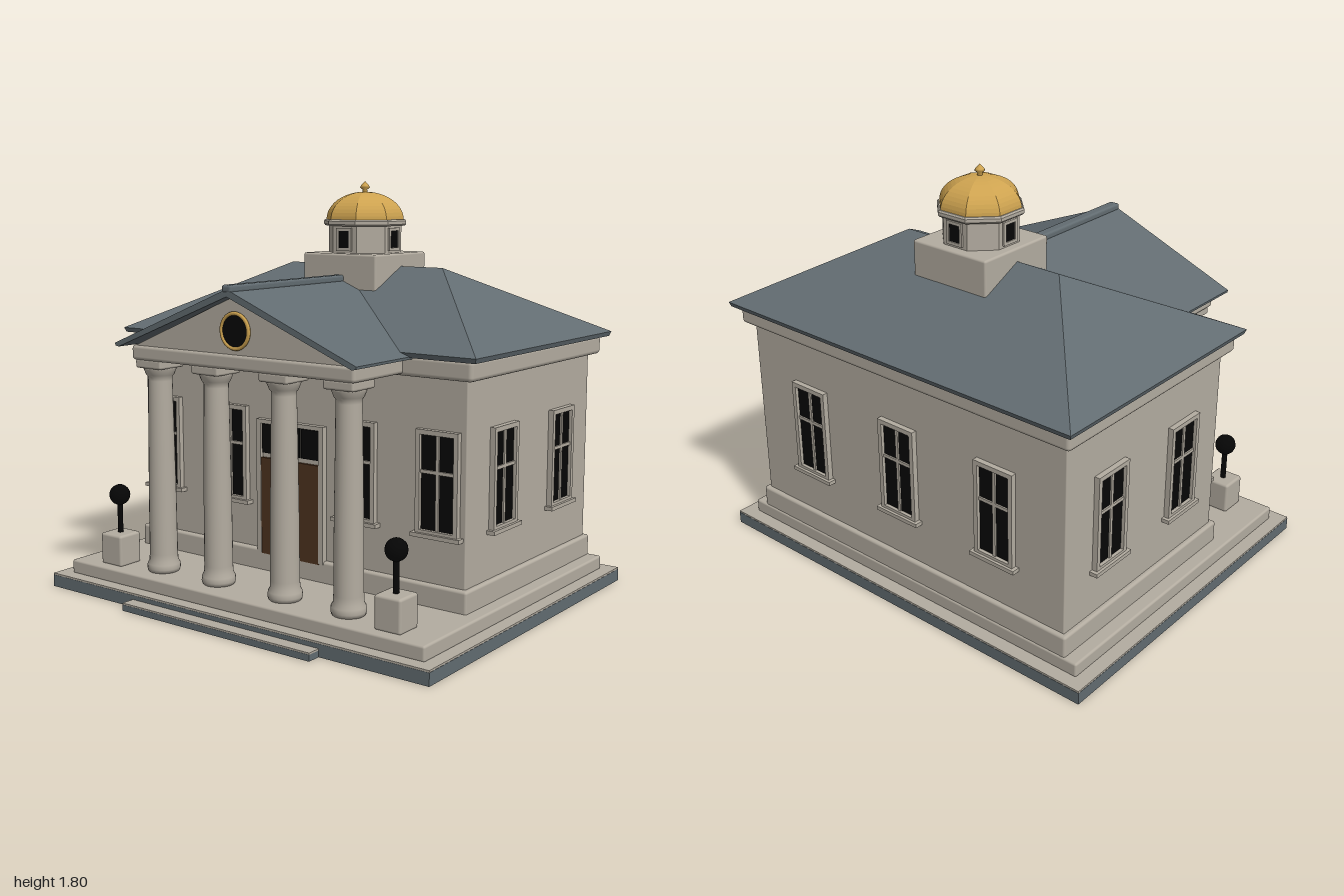
import * as THREE from 'three';
import { RoundedBoxGeometry } from 'three/addons/geometries/RoundedBoxGeometry.js';

const mat = (name, color, opts = {}) => {
  const m = new THREE.MeshStandardMaterial({ color, ...opts });
  m.name = name;
  return m;
};

export function createModel() {
  const stone = mat('stone', 0xb3aca0);
  const stoneFlat = mat('stone faceted', 0xb3aca0, { flatShading: true });
  const slate = mat('slate', 0x626c71, { flatShading: true });
  const gold = mat('gold', 0xcea350);
  const goldFlat = mat('gold faceted', 0xcea350, { flatShading: true });
  const black = mat('black', 0x060606);
  const wood = mat('dark wood', 0x4e331f);

  const model = new THREE.Group();
  model.name = 'courthouse';

  const add = (parent, name, geo, material, x = 0, y = 0, z = 0) => {
    const m = new THREE.Mesh(geo, material);
    m.name = name;
    m.position.set(x, y, z);
    parent.add(m);
    return m;
  };
  // Box given by its extents on each axis
  const box = (parent, name, material, [x0, x1], [y0, y1], [z0, z1], r = 0) => {
    const s = [x1 - x0, y1 - y0, z1 - z0];
    const geo = r ? new RoundedBoxGeometry(...s, 2, r) : new THREE.BoxGeometry(...s);
    return add(parent, name, geo, material, (x0 + x1) / 2, (y0 + y1) / 2, (z0 + z1) / 2);
  };
  const polygon = (pts) => new THREE.Shape(pts.map(([x, y]) => new THREE.Vector2(x, y)));
  const extrude = (shape, depth) => new THREE.ExtrudeGeometry(shape, { depth, bevelEnabled: false });
  const lathe = (pts, n) => new THREE.LatheGeometry(pts.map(([r, y]) => new THREE.Vector2(r, y)), n);
  // Rectangular frame with an opening, centred on the origin
  const frame = (w, h, t, depth) => {
    const s = polygon([[-w / 2, -h / 2], [w / 2, -h / 2], [w / 2, h / 2], [-w / 2, h / 2]]);
    const a = w / 2 - t, b = h / 2 - t;
    s.holes.push(polygon([[-a, -b], [-a, b], [a, b], [a, -b]]));
    return extrude(s, depth);
  };

  // Hollow base and entrance step: slate kerbs under stone paving, open below
  const kerb = (name, w, d, height, z) => {
    add(model, name, frame(w, d, 0.008, height), slate, 0, 0, z).rotation.x = -Math.PI / 2;
  };
  kerb('baseKerb', 2, 1.6, 0.053, -0.03);
  box(model, 'basePaving', stone, [-0.999, 0.999], [0.053, 0.061], [-0.829, 0.769]);
  box(model, 'baseUnderside', slate, [-0.94, 0.94], [0.049, 0.054], [-0.77, 0.71]);
  kerb('stepKerb', 1, 0.062, 0.027, 0.799);
  box(model, 'stepPaving', stone, [-0.5, 0.5], [0.027, 0.034], [0.768, 0.829]);
  box(model, 'platform', stone, [-0.94, 0.94], [0.056, 0.12], [-0.77, 0.71], 0.01);

  // Main block
  box(model, 'plinth', stone, [-0.88, 0.88], [0.11, 0.212], [-0.765, 0.318], 0.012);
  box(model, 'walls', stone, [-0.86, 0.86], [0.12, 1.08], [-0.745, 0.295], 0.006);
  box(model, 'cornice', stone, [-0.9, 0.9], [1.042, 1.125], [-0.787, 0.335], 0.018);

  // Hipped roof: eave ring below and above, then the ridge
  const ring = (x, y, z) => [[-x, y, -0.23 + z], [x, y, -0.23 + z], [x, y, -0.23 - z], [-x, y, -0.23 - z]];
  const pts = [...ring(0.925, 1.12, 0.585), ...ring(0.932, 1.14, 0.592), [-0.41, 1.432, -0.23], [0.41, 1.432, -0.23]];
  const faces = [[3, 2, 1, 0], [4, 5, 9, 8], [5, 6, 9], [6, 7, 8, 9], [7, 4, 8]];
  for (let i = 0; i < 4; i++) faces.push([i, (i + 1) % 4, 4 + (i + 1) % 4, 4 + i]);
  const verts = [];
  for (const f of faces)
    for (let i = 1; i < f.length - 1; i++) verts.push(...pts[f[0]], ...pts[f[i]], ...pts[f[i + 1]]);
  const hip = new THREE.BufferGeometry();
  hip.setAttribute('position', new THREE.Float32BufferAttribute(verts, 3));
  hip.computeVertexNormals();
  add(model, 'hippedRoof', hip, slate);

  // Portico roof and pediment
  const portico = new THREE.Group();
  portico.name = 'portico';
  model.add(portico);
  box(portico, 'entablature', stone, [-0.585, 0.585], [1.05, 1.114], [0.3, 0.66], 0.015);
  add(portico, 'pediment', extrude(polygon([[-0.585, 1.105], [0.585, 1.105], [0, 1.352]]), 0.34), stone, 0, 0, 0.31);
  add(portico, 'gableRoof', extrude(polygon([
    [-0.628, 1.113], [-0.61, 1.109], [0, 1.35], [0.61, 1.109], [0.628, 1.113], [0.63, 1.124], [0, 1.38], [-0.63, 1.124],
  ]), 0.86), slate, 0, 0, -0.15);
  box(portico, 'ridgeCap', slate, [-0.025, 0.025], [1.365, 1.397], [-0.13, 0.712], 0.01);
  const disc = add(portico, 'roundWindow', new THREE.CylinderGeometry(0.068, 0.068, 0.02, 32), black, 0, 1.21, 0.652);
  disc.rotation.x = Math.PI / 2;
  add(portico, 'roundWindowRing', new THREE.TorusGeometry(0.071, 0.008, 8, 32), gold, 0, 1.21, 0.66);

  // Columns
  const columnGeo = lathe([
    [0, 0.12], [0.068, 0.12], [0.073, 0.135], [0.071, 0.155], [0.063, 0.17], [0.061, 0.2], [0.059, 0.5],
    [0.052, 0.96], [0.052, 0.975], [0.06, 0.985], [0.07, 1.01], [0.07, 1.02], [0, 1.02],
  ], 24);
  for (const x of [-0.5, -0.18, 0.18, 0.5]) {
    add(portico, 'column', columnGeo, stone, x, 0, 0.575);
    box(portico, 'columnAbacus', stone, [x - 0.073, x + 0.073], [1.015, 1.055], [0.502, 0.65], 0.01);
  }

  // Sash windows, built facing +z with the wall at z = 0
  const sashFrame = frame(0.196, 0.425, 0.02, 0.024);
  const sashWindow = (x, z, turn) => {
    const g = new THREE.Group();
    g.name = 'window';
    g.position.set(x, 0.624, z);
    g.rotation.y = turn;
    add(g, 'windowFrame', sashFrame, stone);
    box(g, 'windowGlass', black, [-0.08, 0.08], [-0.194, 0.194], [0, 0.009]);
    box(g, 'windowMullion', stone, [-0.007, 0.007], [-0.194, 0.194], [0.005, 0.016]);
    box(g, 'windowTransom', stone, [-0.08, 0.08], [0.036, 0.05], [0.005, 0.016]);
    box(g, 'windowSill', stone, [-0.114, 0.114], [-0.222, -0.205], [0, 0.036]);
    model.add(g);
  };
  for (const x of [-0.735, -0.34, 0.34, 0.735]) sashWindow(x, 0.295, 0);
  for (const x of [-0.52, 0, 0.52]) sashWindow(x, -0.745, Math.PI);
  for (const s of [-1, 1])
    for (const z of [0.02, -0.475]) sashWindow(0.86 * s, z, (s * Math.PI) / 2);

  // Double door with a light of three panes above
  const door = new THREE.Group();
  door.name = 'entrance';
  model.add(door);
  box(door, 'doorSurround', stone, [-0.18, 0.18], [0.2, 0.79], [0.29, 0.305]);
  for (const s of [-1, 1]) {
    const c = 0.0785 * s;
    box(door, 'doorLeaf', wood, [c - 0.0775, c + 0.0775], [0.195, 0.622], [0.3, 0.319]);
    box(door, 'doorHandle', gold, [0.02 * s - 0.007, 0.02 * s + 0.007], [0.352, 0.412], [0.315, 0.328], 0.005);
    box(door, 'doorJamb', stone, [0.168 * s - 0.012, 0.168 * s + 0.012], [0.2, 0.79], [0.3, 0.322]);
  }
  for (const x of [-0.107, 0, 0.107])
    box(door, 'transomPane', black, [x - 0.049, x + 0.049], [0.642, 0.768], [0.303, 0.311]);
  box(door, 'doorLintel', stone, [-0.18, 0.18], [0.772, 0.79], [0.3, 0.322]);

  // Lamps on pedestals
  for (const x of [-0.74, 0.74]) {
    box(model, 'lampPedestal', stone, [x - 0.062, x + 0.062], [0.115, 0.257], [0.538, 0.662], 0.012);
    add(model, 'lampPost', new THREE.CylinderGeometry(0.012, 0.012, 0.17, 12), black, x, 0.335, 0.6);
    add(model, 'lampGlobe', new THREE.SphereGeometry(0.046, 16, 10), black, x, 0.427, 0.6);
  }

  // Cupola
  const cupola = new THREE.Group();
  cupola.name = 'cupola';
  cupola.position.z = -0.23;
  model.add(cupola);
  box(cupola, 'cupolaBase', stone, [-0.196, 0.196], [1.2, 1.489], [-0.196, 0.196], 0.01);
  const octagon = (name, geo, material) => {
    add(cupola, name, geo, material).rotation.y = Math.PI / 8;
  };
  octagon('cupolaDrum', lathe([[0.166, 1.48], [0.166, 1.62]], 8), stoneFlat);
  octagon('cupolaCornice', lathe([[0.15, 1.607], [0.182, 1.607], [0.188, 1.614], [0.188, 1.628], [0.182, 1.635], [0, 1.635]], 8), stoneFlat);
  const domeProfile = Array.from({ length: 13 }, (_, i) => {
    const t = (i / 12) * (Math.PI / 2);
    return [0.177 * Math.cos(t), 1.633 + 0.123 * Math.sin(t)];
  });
  octagon('dome', lathe(domeProfile, 8), goldFlat);
  add(cupola, 'finial', lathe([[0.012, 1.745], [0.01, 1.765], [0.022, 1.775], [0.018, 1.783], [0, 1.803]], 12), gold);
  const smallFrame = frame(0.082, 0.1, 0.013, 0.01);
  for (let i = 0; i < 4; i++) {
    const g = new THREE.Group();
    g.name = 'cupolaWindow';
    g.rotation.y = (i * Math.PI) / 2;
    add(g, 'cupolaWindowFrame', smallFrame, stone, 0, 1.549, 0.152);
    box(g, 'cupolaWindowGlass', black, [-0.03, 0.03], [1.511, 1.587], [0.15, 0.157]);
    cupola.add(g);
  }
  return model;
}
